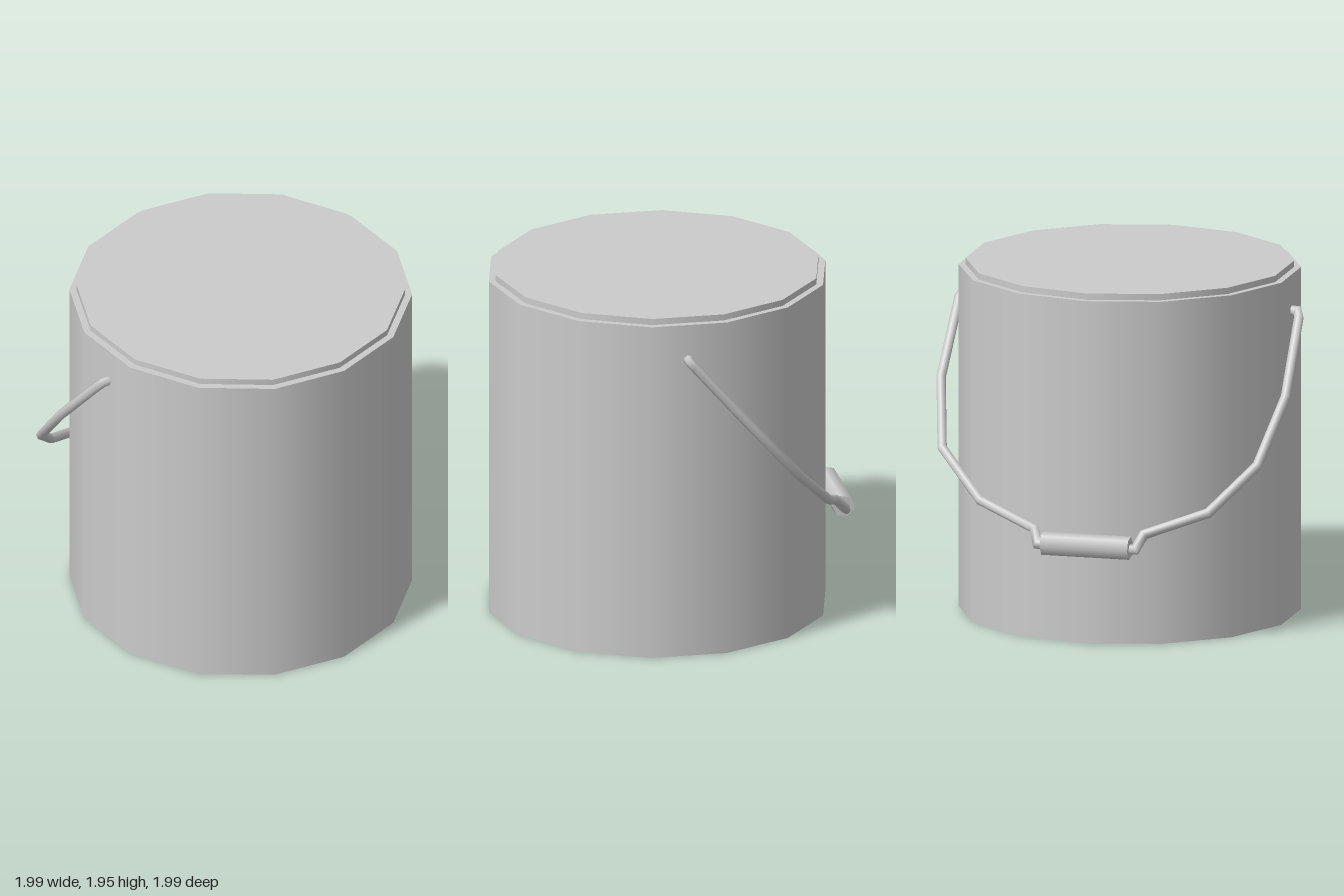
import * as THREE from 'three';

const SIDES = 14;
const CENTER_Z = 0.055;

// Point on the tilted plane of the hanging handle
const onHandle = (x, z) => new THREE.Vector3(x, 1.71 + (z - 0.06) * 1.154, z);
const ACROSS = new THREE.Vector3(0, 1, -1.154).normalize(); // normal of that plane

// Mitred six-sided rod along a bent path that lies in the handle plane
function rodGeometry(path, radius, sides = 6) {
  const positions = [];
  const indices = [];
  const last = path.length - 1;
  path.forEach((p, i) => {
    const before = p.clone().sub(path[Math.max(i - 1, 0)]).normalize();
    const after = path[Math.min(i + 1, last)].clone().sub(p).normalize();
    const tangent = before.clone().add(after).normalize();
    const miter = 1 / tangent.dot(i < last ? after : before);
    const side = ACROSS.clone().cross(tangent).normalize();
    for (let k = 0; k < sides; k++) {
      const a = (k / sides) * Math.PI * 2;
      const v = p.clone()
        .addScaledVector(side, Math.sin(a) * radius * miter)
        .addScaledVector(ACROSS, Math.cos(a) * radius);
      positions.push(v.x, v.y, v.z);
      if (i < last) {
        const a0 = i * sides + k;
        const a1 = i * sides + ((k + 1) % sides);
        indices.push(a0, a1, a0 + sides, a1, a1 + sides, a0 + sides);
      }
    }
  });
  const geometry = new THREE.BufferGeometry();
  geometry.setAttribute('position', new THREE.Float32BufferAttribute(positions, 3));
  geometry.setIndex(indices);
  geometry.computeVertexNormals();
  return geometry;
}

export function createModel() {
  const group = new THREE.Group();
  const grey = new THREE.MeshStandardMaterial({ color: 0xcccccc });
  const thin = new THREE.MeshStandardMaterial({ color: 0xcccccc, side: THREE.DoubleSide });

  const add = (name, geometry, material = grey) => {
    const mesh = new THREE.Mesh(geometry, material);
    mesh.name = name;
    group.add(mesh);
    return mesh;
  };

  // Can body, with a slightly narrower lid on top
  add('body', new THREE.CylinderGeometry(0.935, 0.935, 1.91, SIDES)).position.set(0, 0.955, CENTER_Z);
  add('lid', new THREE.CylinderGeometry(0.897, 0.897, 0.055, SIDES)).position.set(0, 1.9175, CENTER_Z);

  // Wire handle: half path from the side of the can to the grip, [x, z]
  const half = [
    [0.89, 0.06], [0.944, 0.06], [0.96, 0.035], [0.973, -0.29],
    [0.89, -0.575], [0.645, -0.778], [0.31, -0.88], [0.277, -0.942],
  ];
  const gripX = -0.022;
  // The lower bends follow the slightly offset grip
  const shift = (z) => (z < -0.7 ? gripX : 0);
  const path = [
    ...half.map(([x, z]) => onHandle(x + shift(z), z)),
    ...half.slice().reverse().map(([x, z]) => onHandle(-x + shift(z), z)),
  ];
  add('handleWire', rodGeometry(path, 0.027), thin);

  // Hexagonal grip around the middle of the wire
  const gripGeometry = new THREE.CylinderGeometry(0.064, 0.064, 0.495, 6);
  gripGeometry.rotateZ(Math.PI / 2);
  gripGeometry.rotateX(Math.atan2(1.154, 1));
  const grip = add('grip', gripGeometry);
  grip.position.copy(onHandle(gripX, -0.938));

  return group;
}
